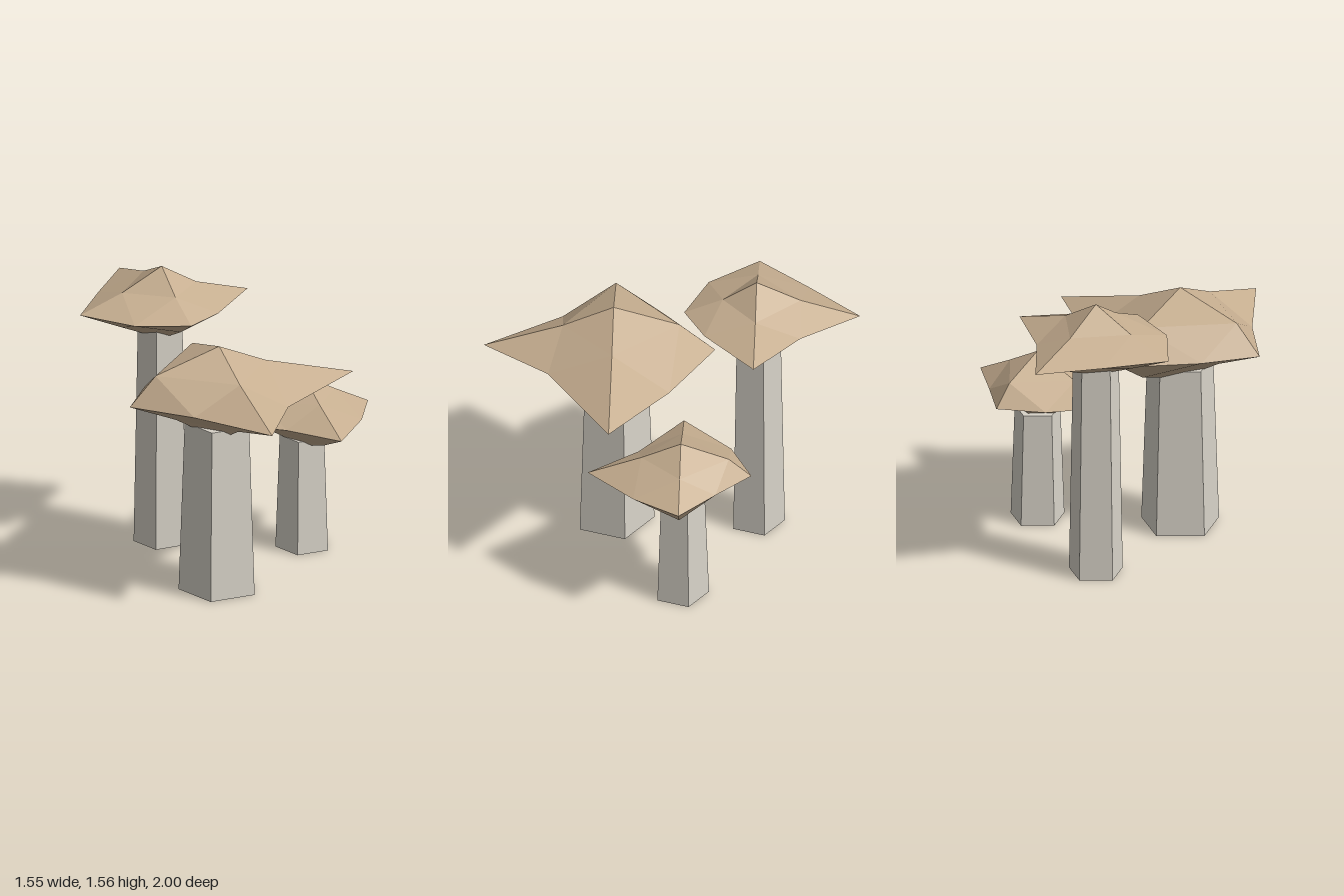
import * as THREE from 'three';

const stemMaterial = new THREE.MeshStandardMaterial({ color: 0xd8d3c8, flatShading: true });
const capMaterial = new THREE.MeshStandardMaterial({ color: 0xc6ae90, flatShading: true });

// Directions in order: +x, +z, -x, -z
const DIRS = [[1, 0], [0, 1], [-1, 0], [0, -1]];

// Each mushroom: stem base, cap centre height, and the cap's uneven once-divided octahedron:
// tips = reach of the four corners, upper/lower = [reach, rise] halfway to the peaks,
// rim = [x, z] of the points between neighbouring corners.
const MUSHROOMS = [
  {
    name: 'largeMushroom', x: -0.26, z: 0.31, radius: 0.217, stemHeight: 0.95, capY: 1.11, rise: 0.265,
    tips: [0.78, 0.69, 0.52, 0.54],
    upper: [[0.27, 0.145], [0.27, 0.14], [0.37, 0.155], [0.35, 0.16]],
    lower: [[0.3, -0.148], [0.25, -0.133], [0.25, -0.115], [0.34, -0.135]],
    rim: [[0.25, 0.34], [-0.27, 0.28], [-0.32, -0.25], [0.395, -0.31]],
  },
  {
    name: 'smallMushroom', x: 0.4, z: -0.07, radius: 0.15, stemHeight: 0.635, capY: 0.768, rise: 0.2,
    tips: [0.375, 0.495, 0.485, 0.375],
    upper: [[0.18, 0.1], [0.21, 0.107], [0.245, 0.09], [0.255, 0.107]],
    lower: [[0.26, -0.11], [0.275, -0.1], [0.185, -0.088], [0.13, -0.1]],
    rim: [[0.23, 0.245], [-0.2, 0.23], [-0.24, -0.26], [0.18, -0.19]],
  },
  {
    name: 'tallMushroom', x: -0.255, z: -0.45, radius: 0.15, stemHeight: 1.25, capY: 1.355, rise: 0.206,
    tips: [0.5, 0.385, 0.475, 0.55],
    upper: [[0.2, 0.087], [0.18, 0.09], [0.23, 0.09], [0.235, 0.095]],
    lower: [[0.23, -0.086], [0.25, -0.082], [0.23, -0.108], [0.29, -0.077]],
    rim: [[0.21, 0.27], [-0.275, 0.265], [-0.245, -0.275], [0.215, -0.24]],
  },
];

function capGeometry({ rise, tips, upper, lower, rim }) {
  const positions = [];
  const along = (k, reach, y) => [DIRS[k][0] * reach, y, DIRS[k][1] * reach];
  const tri = (a, b, c, flip) => positions.push(...a, ...(flip ? c : b), ...(flip ? b : c));

  for (let k = 0; k < 4; k++) {
    const n = (k + 1) % 4;
    const tipA = along(k, tips[k], 0), tipB = along(n, tips[n], 0);
    const middle = [rim[k][0], 0, rim[k][1]];
    // Four facets above the rim, four below
    for (const [ring, peakY, flip] of [[upper, rise, false], [lower, -rise, true]]) {
      const a = along(k, ...ring[k]), b = along(n, ...ring[n]);
      tri([0, peakY, 0], b, a, flip);
      tri(b, tipB, middle, flip);
      tri(a, middle, tipA, flip);
      tri(b, middle, a, flip);
    }
  }
  const geometry = new THREE.BufferGeometry();
  geometry.setAttribute('position', new THREE.Float32BufferAttribute(positions, 3));
  geometry.computeVertexNormals();
  return geometry;
}

function createMushroom(m) {
  const group = new THREE.Group();
  group.name = m.name;
  group.position.set(m.x, 0, m.z);

  // Five-sided tapering stem, flat side to the front
  const stem = new THREE.Mesh(
    new THREE.CylinderGeometry(m.radius * 0.85, m.radius, m.stemHeight, 5).rotateY(Math.PI),
    stemMaterial
  );
  stem.name = 'stem';
  stem.position.y = m.stemHeight / 2;

  const cap = new THREE.Mesh(capGeometry(m), capMaterial);
  cap.name = 'cap';
  cap.position.y = m.capY;

  group.add(stem, cap);
  return group;
}

export function createModel() {
  const model = new THREE.Group();
  model.name = 'mushroomCluster';
  for (const m of MUSHROOMS) model.add(createMushroom(m));
  return model;
}
